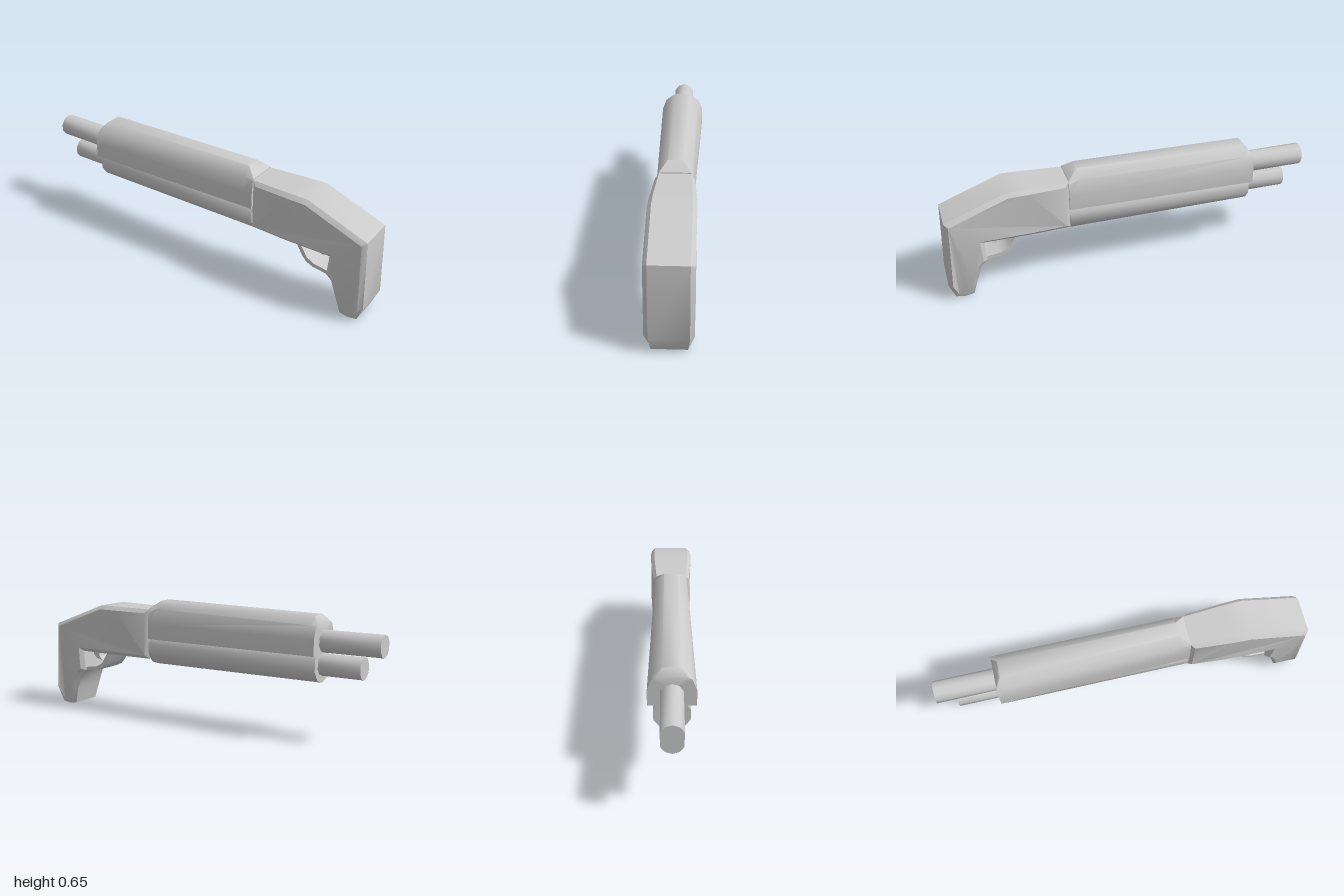
import * as THREE from 'three';
import { toCreasedNormals } from 'three/addons/utils/BufferGeometryUtils.js';

const material = new THREE.MeshStandardMaterial({ color: 0xcccccc, side: THREE.DoubleSide });
const clamp = THREE.MathUtils.clamp;

function add(group, name, geometry, crease = 0.65) {
  const mesh = new THREE.Mesh(toCreasedNormals(geometry, crease), material);
  mesh.name = name;
  group.add(mesh);
  return mesh;
}

// Side profile given as [z, y], extruded across x to the given half width
function sideExtrude(points, half, bevel = 0) {
  const shape = new THREE.Shape(points.map(([z, y]) => new THREE.Vector2(z, y)));
  const geo = new THREE.ExtrudeGeometry(shape, {
    depth: 2 * (half - bevel), bevelEnabled: bevel > 0, bevelSegments: 1,
    bevelSize: bevel, bevelThickness: bevel, bevelOffset: -bevel,
  });
  geo.translate(0, 0, -(half - bevel));
  return geo.rotateY(-Math.PI / 2);
}

// Skin convex rings (counter-clockwise, ordered from +z to -z) and cap both ends
function loft(rings) {
  const pos = [];
  const tri = (...p) => p.forEach((v) => pos.push(...v));
  const n = rings[0].length;
  const centre = (r) => [0, 1, 2].map((k) => r.reduce((s, p) => s + p[k], 0) / n);
  const first = rings[0], last = rings[rings.length - 1];
  for (let i = 0; i < n; i++) {
    const j = (i + 1) % n;
    for (let s = 0; s < rings.length - 1; s++) {
      const a = rings[s], b = rings[s + 1];
      tri(a[i], b[i], b[j]);
      tri(a[i], b[j], a[j]);
    }
    tri(centre(first), first[i], first[j]);
    tri(centre(last), last[j], last[i]);
  }
  const geo = new THREE.BufferGeometry();
  geo.setAttribute('position', new THREE.Float32BufferAttribute(pos, 3));
  return geo;
}

// Ten-sided rod along z between two z values
function rod(radius, y, z0, z1) {
  const geo = new THREE.CylinderGeometry(radius, radius, z0 - z1, 10);
  return geo.rotateX(-Math.PI / 2).translate(0, y, (z0 + z1) / 2);
}

export function createModel() {
  const model = new THREE.Group();

  // Chamfered stock: receiver and grip in one bent profile
  const stock = sideExtrude([
    [0.985, 0.477], [0.655, 0.603], [0.55, 0.602], [0.335, 0.598], [0.335, 0.322],
    [0.55, 0.325], [0.795, 0.328], [0.785, 0.215], [0.815, 0.19], [0.847, 0.1],
    [0.872, 0.008], [0.92, 0], [0.967, 0.008], [1, 0.09],
  ], 0.118, 0.021);
  const p = stock.attributes.position;
  for (let i = 0; i < p.count; i++) {
    const x = p.getX(i), y = p.getY(i), z = p.getZ(i);
    const outer = Math.abs(x) > 0.11;
    const forward = clamp((0.6 - z) / 0.26, 0, 1);  // receiver narrows towards the barrels
    const low = clamp((0.09 - y) / 0.08, 0, 1);     // grip narrows towards its foot
    p.setX(i, x * (1 - 0.17 * forward) * (1 - (outer ? 0.24 : 0.1) * low));
  }
  add(model, 'stock', stock);

  // Upper shroud, widening towards the muzzle, with sloped ends
  const ring = ([z, w, shoulderX, shoulderY, topX, topY]) => {
    const half = [[w, 0.435], [w, 0.52], [shoulderX, shoulderY], [topX, topY]];
    const mirrored = half.map(([x, y]) => [-x, y]).reverse();
    return [...half, ...mirrored].map(([x, y]) => [x, y, z]);
  };
  add(model, 'upperShroud', loft([
    [0.335, 0.095, 0.088, 0.585, 0.08, 0.603],
    [0.28, 0.096, 0.085, 0.605, 0.038, 0.646],
    [-0.65, 0.117, 0.095, 0.585, 0.045, 0.628],
    [-0.68, 0.118, 0.096, 0.578, 0.075, 0.592],
  ].map(ring)), 0.75);

  // Rounded pump under the shroud
  add(model, 'pump', rod(0.094, 0.379, 0.335, -0.675), 0.75);

  // Barrel and magazine tube
  add(model, 'barrel', rod(0.058, 0.498, -0.6, -1), 0.75);
  add(model, 'magazineTube', rod(0.058, 0.379, -0.6, -0.9), 0.75);

  // Wide curved strap below the receiver
  add(model, 'triggerGuard', sideExtrude([
    [0.8, 0.21], [0.8, 0.23], [0.71, 0.243], [0.668, 0.265], [0.625, 0.333],
    [0.602, 0.333], [0.64, 0.268], [0.665, 0.24], [0.705, 0.222],
  ], 0.09));

  // Hooked trigger
  add(model, 'trigger', sideExtrude([
    [0.785, 0.335], [0.775, 0.3], [0.755, 0.28], [0.713, 0.27],
    [0.732, 0.288], [0.738, 0.305], [0.728, 0.335],
  ], 0.03));

  return model;
}
